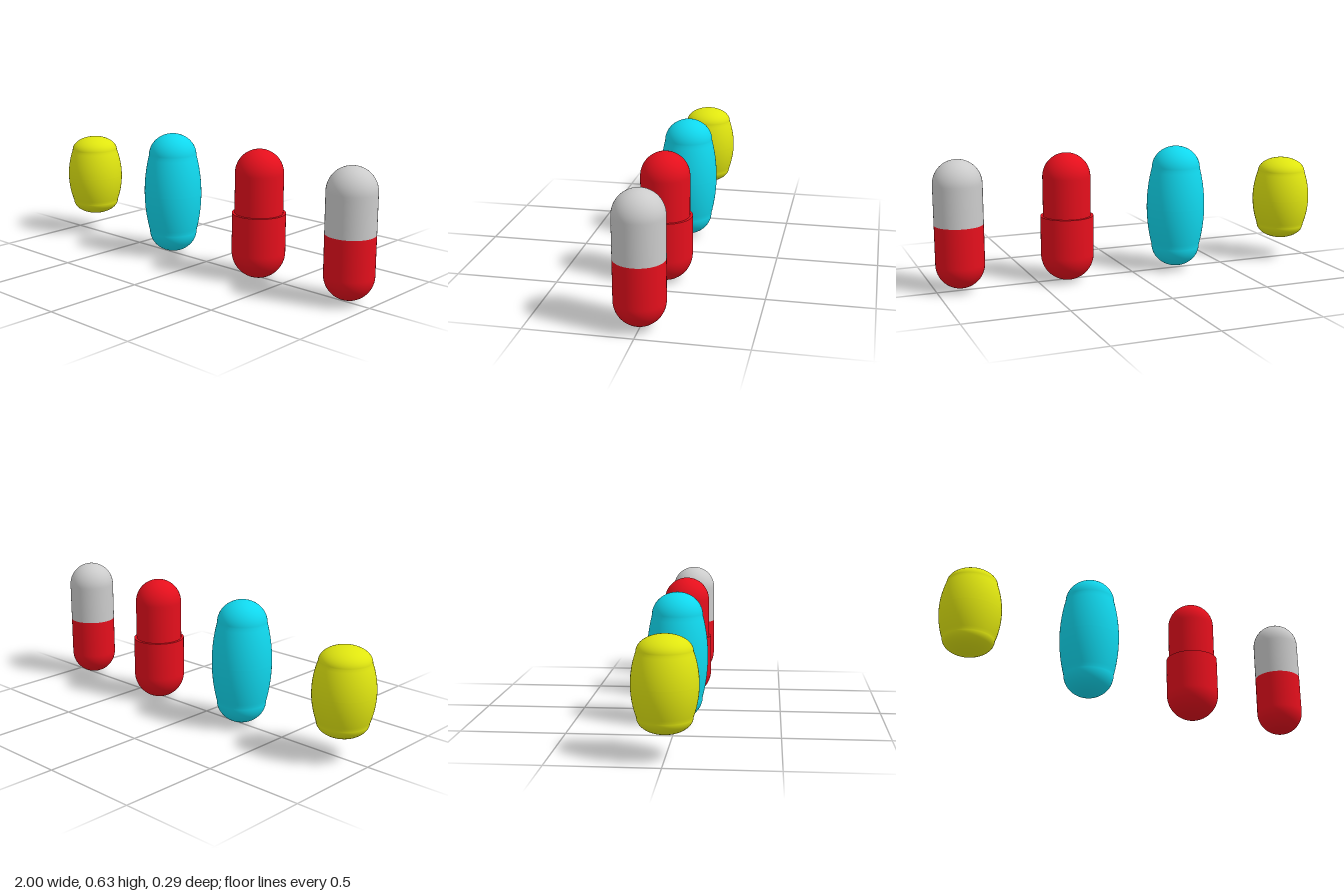
import * as THREE from 'three';

const MID = 0.324;
const SEGMENTS = 64;

const paint = (color) => new THREE.MeshStandardMaterial({ color, side: THREE.DoubleSide });

// Half a pill, from the joint (y = 0) out to the pole.
// radius: at the joint, seam: at the dome base, wall: joint to dome, dome: dome height
function halfProfile({ radius, seam, wall, dome }) {
  const points = [];
  for (let i = 0; i < 12; i++) {
    const t = i / 12;
    points.push(new THREE.Vector2(radius - (radius - seam) * t * t, wall * t));
  }
  for (let i = 0; i <= 20; i++) {
    const a = (i / 20) * Math.PI / 2;
    points.push(new THREE.Vector2(i === 20 ? 0 : seam * Math.cos(a), wall + dome * Math.sin(a)));
  }
  return points;
}

function half(name, spec, material, lower) {
  let points = halfProfile(spec);
  // Lower halves are mirrored and reordered so faces still point outward
  if (lower) points = points.map((p) => new THREE.Vector2(p.x, -p.y)).reverse();
  const mesh = new THREE.Mesh(new THREE.LatheGeometry(points, SEGMENTS), material);
  mesh.name = name;
  return mesh;
}

function pill(name, x, top, bottom, topMaterial, bottomMaterial) {
  const group = new THREE.Group();
  group.name = name;
  group.position.set(x, MID, 0);
  group.add(half('upperHalf', top, topMaterial, false), half('lowerHalf', bottom, bottomMaterial, true));
  return group;
}

export function createModel() {
  const model = new THREE.Group();
  model.name = 'pills';

  const yellow = paint(0xe0e610);
  const cyan = paint(0x10d8ee);
  const red = paint(0xe50f1c);
  const grey = paint(0xcccccc);

  const shortBarrel = { radius: 0.147, seam: 0.122, wall: 0.142, dome: 0.073 };
  const longBarrel = { radius: 0.147, seam: 0.122, wall: 0.199, dome: 0.111 };
  const straight = { radius: 0.117, seam: 0.117, wall: 0.193, dome: 0.117 };
  const sleeve = { radius: 0.13, seam: 0.13, wall: 0.194, dome: 0.13 };

  model.add(pill('shortBarrelPill', -0.853, shortBarrel, shortBarrel, yellow, yellow));
  model.add(pill('longBarrelPill', -0.238, longBarrel, longBarrel, cyan, cyan));

  // Capsule whose wider lower half sleeves over the upper one
  const stepped = pill('steppedCapsule', 0.347, straight, sleeve, red, red);
  const rim = new THREE.Mesh(new THREE.RingGeometry(straight.radius, sleeve.radius, SEGMENTS), red);
  rim.name = 'sleeveRim';
  rim.rotation.x = -Math.PI / 2;
  stepped.add(rim);
  model.add(stepped);

  model.add(pill('twoToneCapsule', 0.883, straight, straight, grey, red));
  return model;
}
